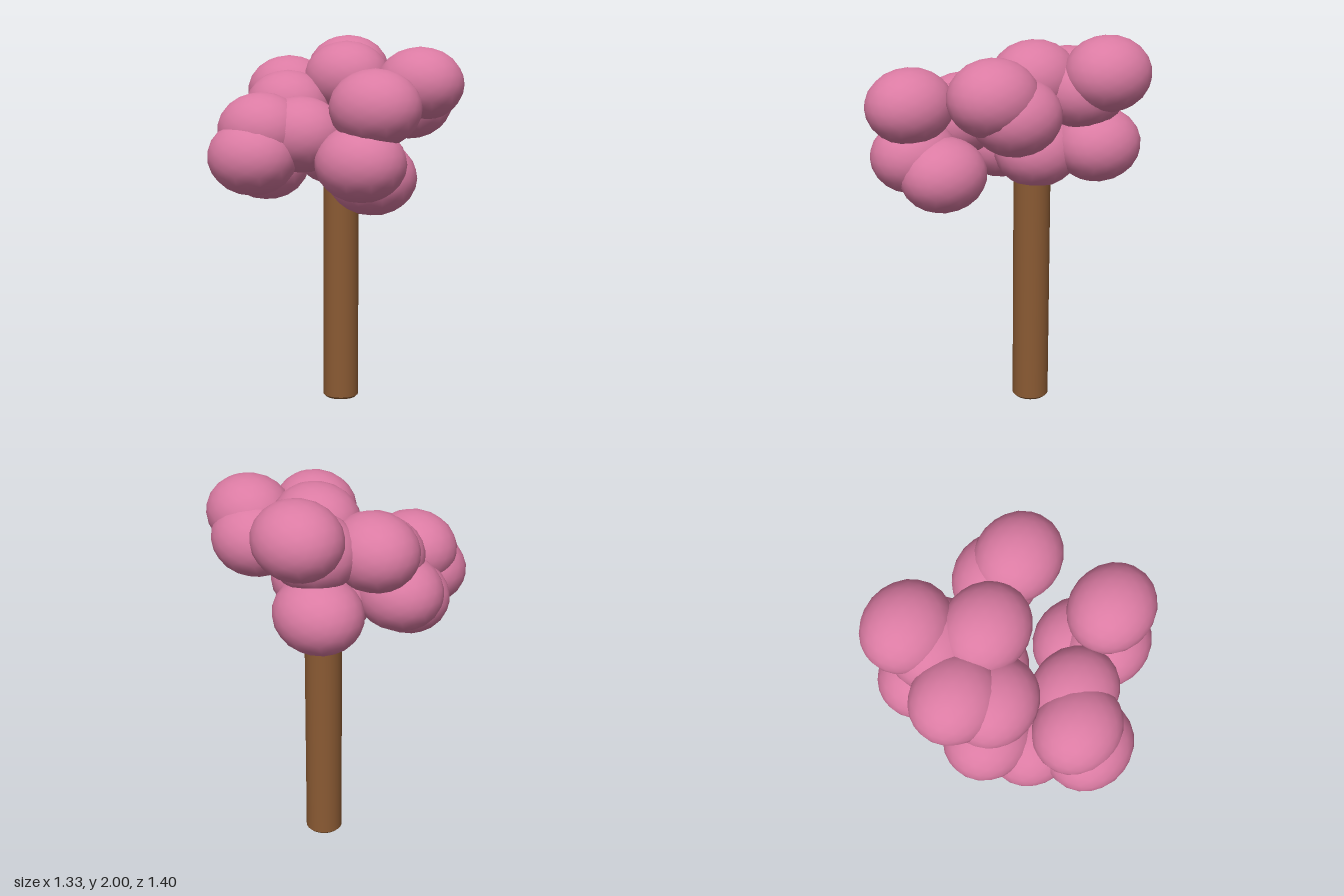
import * as THREE from 'three';

export function createModel() {
  const model = new THREE.Group();
  model.name = 'blossomTree';

  const blossom = new THREE.MeshStandardMaterial({ color: 0xdb7ba3 });
  blossom.name = 'blossom pink';
  const bark = new THREE.MeshStandardMaterial({ color: 0x8a5a33 });
  bark.name = 'bark brown';

  // Trunk: straight round post with slightly bevelled ends
  const r = 0.097, h = 1.25, b = 0.012;
  const corners = [[0, 0], [r - b, 0], [r, b], [r, h - b], [r - b, h], [0, h]];
  // repeat the corner points so the bevels stay crisp
  const profile = corners.flatMap(([x, y]) => [new THREE.Vector2(x, y), new THREE.Vector2(x, y)]).slice(1, -1);
  const trunk = new THREE.Mesh(new THREE.LatheGeometry(profile, 32), bark);
  trunk.name = 'trunk';
  trunk.position.set(-0.1, 0, -0.165);
  model.add(trunk);

  // Canopy: equal, slightly flattened blossom clumps at [x, y, z]
  const clumps = [
    [-0.14, 1.385, -0.165],
    [-0.31, 1.805, -0.485],
    [-0.27, 1.71, -0.36],
    [-0.35, 1.42, -0.395],
    [-0.425, 1.695, -0.11],
    [-0.08, 1.775, -0.19],
    [-0.41, 1.44, 0.07],
    [-0.31, 1.62, 0.03],
    [-0.28, 1.335, 0.24],
    [-0.145, 1.52, 0.413],
    [-0.145, 1.39, 0.487],
    [0.005, 1.5, 0.285],
    [0.36, 1.37, 0.24],
    [0.42, 1.645, 0.2],
    [0.305, 1.285, 0.08],
    [0.325, 1.745, -0.305],
    [0.215, 1.645, -0.355],
  ];
  const canopy = new THREE.Group();
  canopy.name = 'canopy';
  const ball = new THREE.IcosahedronGeometry(1, 3);
  ball.scale(0.241, 0.196, 0.215);
  clumps.forEach((p, i) => {
    const clump = new THREE.Mesh(ball, blossom);
    clump.name = 'blossomClump' + (i + 1);
    clump.position.set(...p);
    canopy.add(clump);
  });
  model.add(canopy);

  return model;
}
